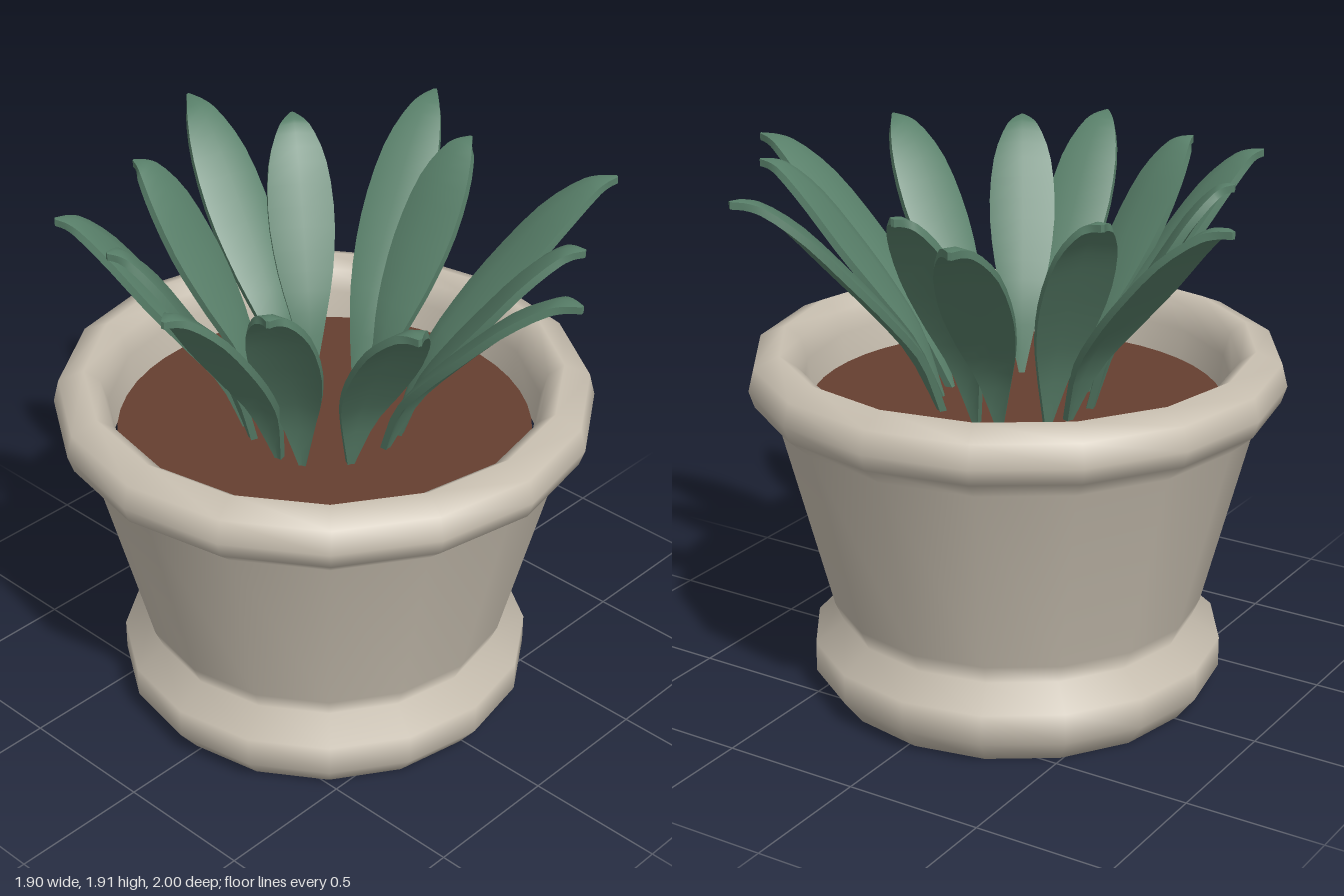
import * as THREE from 'three';
import { toCreasedNormals } from 'three/addons/utils/BufferGeometryUtils.js';

const mat = (name, color) => {
  const m = new THREE.MeshStandardMaterial({ color });
  m.name = name;
  return m;
};

// Leaf outline: x = fraction of reach, y = height, z = half width
const leafProfile = new THREE.CatmullRomCurve3([
  [0, 1.05, 0.006], [0.12, 1.29, 0.06], [0.28, 1.46, 0.1], [0.48, 1.635, 0.118],
  [0.69, 1.8, 0.1], [0.86, 1.89, 0.056], [0.93, 1.905, 0.032], [1, 1.905, 0.006],
].map((p) => new THREE.Vector3(...p)));

// Thin blade with a raised midline, arching from base (bx, bz) to tip (tx, tz)
function leafGeometry(bx, bz, tx, tz) {
  const steps = 18, thick = 0.025;
  const base = new THREE.Vector3(bx, 0, bz);
  const dir = new THREE.Vector3(tx - bx, 0, tz - bz);
  const reach = dir.length();
  dir.normalize();
  const side = new THREE.Vector3(0, 1, 0).cross(dir);
  const pos = [], idx = [];
  for (let i = 0; i <= steps; i++) {
    const p = leafProfile.getPoint(i / steps);
    const t = leafProfile.getTangent(i / steps);
    const tangent = dir.clone().multiplyScalar(t.x * reach).setY(t.y).normalize();
    const normal = tangent.cross(side);
    const centre = base.clone().addScaledVector(dir, p.x * reach).setY(p.y);
    const w = p.z, drop = -0.22 * w;
    const ring = [[-w, drop], [0, 0], [w, drop], [w, drop - thick], [0, -thick], [-w, drop - thick]];
    for (const [s, n] of ring) {
      pos.push(...centre.clone().addScaledVector(side, s).addScaledVector(normal, n).toArray());
    }
    if (i === steps) continue;
    for (let k = 0; k < 6; k++) {
      const a = i * 6 + k, b = i * 6 + (k + 1) % 6;
      idx.push(a, a + 6, b, b, a + 6, b + 6);
    }
  }
  // Tip cap
  const e = steps * 6;
  for (let k = 1; k < 5; k++) idx.push(e, e + k + 1, e + k);
  const g = new THREE.BufferGeometry();
  g.setAttribute('position', new THREE.Float32BufferAttribute(pos, 3));
  g.setIndex(idx);
  return toCreasedNormals(g, 0.9);
}

export function createModel() {
  const group = new THREE.Group();
  const stone = mat('stone', 0xc9c0b1);
  const earth = mat('earth', 0x663f30);
  const green = mat('leafGreen', 0x587f69);
  const cx = -0.012, cz = -0.022;

  // Sixteen-sided pot: foot, tapered wall, rounded rim and inner wall
  const profile = [
    [0, 0], [0.665, 0], [0.735, 0.09], [0.735, 0.2], [0.63, 0.272], [0.662, 0.345],
    [0.84, 1.04], [0.92, 1.11], [0.94, 1.17], [0.92, 1.25], [0.83, 1.29],
    [0.775, 1.25], [0.752, 1.17], [0.735, 1.05],
  ].map((p) => new THREE.Vector2(...p));
  const pot = new THREE.Mesh(new THREE.LatheGeometry(profile, 16), stone);
  pot.name = 'pot';
  pot.position.set(cx, 0, cz);
  group.add(pot);

  // Soil disc set below the rim
  const soil = new THREE.Mesh(new THREE.CircleGeometry(0.725, 48).rotateX(-Math.PI / 2), earth);
  soil.name = 'soil';
  soil.position.set(cx, 1.07, cz);
  group.add(soil);

  // Leaves: base x, base z, tip x, tip z
  const leaves = new THREE.Group();
  leaves.name = 'leaves';
  [
    [0.07, -0.26, 0.295, -1.0], [0.14, -0.23, 0.445, -0.62], [0.23, -0.11, 0.945, -0.38],
    [0.24, -0.03, 0.74, -0.03], [0.21, 0.12, 0.85, 0.53], [0.1, 0.2, 0.365, 0.78],
    [0.01, 0.22, 0.075, 1.0], [-0.13, 0.2, -0.42, 0.77], [-0.24, 0.1, -0.66, 0.36],
    [-0.26, 0.02, -0.885, 0.13], [-0.24, -0.12, -0.71, -0.32], [-0.2, -0.19, -0.67, -0.62],
    [-0.06, -0.27, -0.2, -0.75],
  ].forEach((l, i) => {
    const leaf = new THREE.Mesh(leafGeometry(...l), green);
    leaf.name = `leaf${i + 1}`;
    leaves.add(leaf);
  });
  group.add(leaves);
  return group;
}
